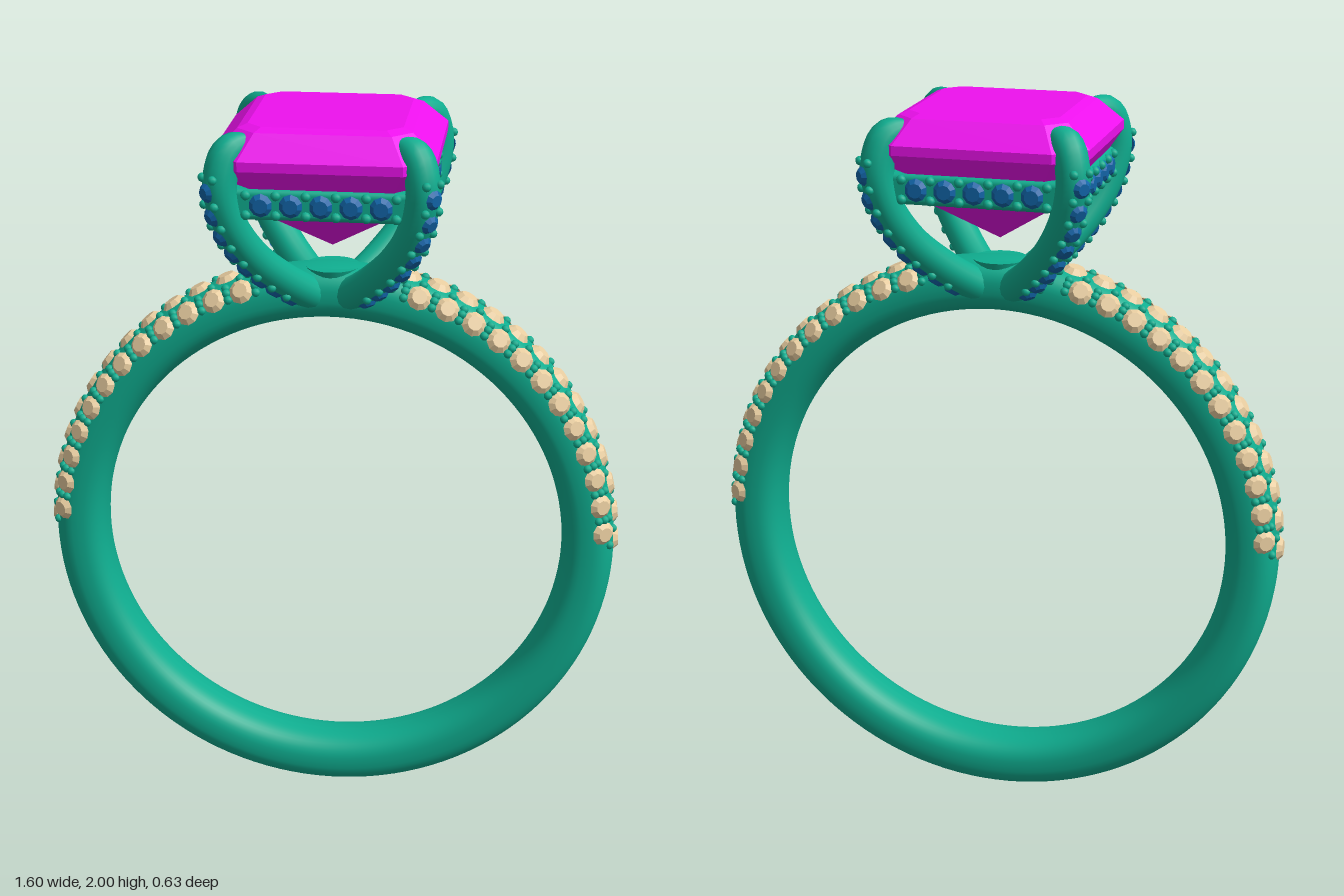
import * as THREE from 'three';
import { mergeGeometries } from 'three/addons/utils/BufferGeometryUtils.js';
import { RoundedBoxGeometry } from 'three/addons/geometries/RoundedBoxGeometry.js';

const metal = new THREE.MeshStandardMaterial({ color: 0x0fae90 });
const gemMat = new THREE.MeshStandardMaterial({ color: 0xee11ee, flatShading: true });
const blue = new THREE.MeshStandardMaterial({ color: 0x1266aa, flatShading: true });
const cream = new THREE.MeshStandardMaterial({ color: 0xe8cda0, flatShading: true });
const V = (x, y, z) => new THREE.Vector3(x, y, z);
const UP = V(0, 1, 0);

function add(parent, name, geometry, material) {
  const mesh = new THREE.Mesh(geometry, material);
  mesh.name = name;
  parent.add(mesh);
  return mesh;
}

// Small cut stone lying at p and facing along n
function stone(p, n, r) {
  const g = new THREE.CylinderGeometry(r * 0.6, r, r * 0.4, 10);
  g.applyQuaternion(new THREE.Quaternion().setFromUnitVectors(UP, n));
  return g.translate(p.x + n.x * r * 0.12, p.y + n.y * r * 0.12, p.z + n.z * r * 0.12);
}
const bead = (p, r = 0.012) => new THREE.SphereGeometry(r, 8, 6).translate(p.x, p.y, p.z);

// Band: a soft oval section turned about the z axis
const CY = 0.795, R = 0.7175, A = 0.0725, B = 0.085;
const soft = (v, e) => Math.sign(v) * Math.abs(v) ** e;

function bandPoint(angle, tilt) {
  const r = R + A * soft(Math.cos(tilt), 0.8), z = B * soft(Math.sin(tilt), 0.8);
  const nr = soft(Math.cos(tilt), 1.2) / A, nz = soft(Math.sin(tilt), 1.2) / B;
  return {
    p: V(r * Math.cos(angle), CY + r * Math.sin(angle), z),
    n: V(nr * Math.cos(angle), nr * Math.sin(angle), nz).normalize(),
  };
}

function makeBand() {
  const group = new THREE.Group();
  group.name = 'band';
  const profile = [];
  for (let i = 0; i <= 40; i++) {
    const t = -Math.PI + (i / 40) * Math.PI * 2;
    profile.push(new THREE.Vector2(R + A * soft(Math.cos(t), 0.8), B * soft(Math.sin(t), 0.8)));
  }
  add(group, 'bandRing', new THREE.LatheGeometry(profile, 128).rotateX(Math.PI / 2).translate(0, CY, 0), metal);

  // Three staggered rows of stones on each shoulder, with beads between
  const deg = Math.PI / 180, stones = [], beads = [];
  for (const side of [1, -1]) {
    const at = (a, t) => bandPoint(side > 0 ? a * deg : Math.PI - a * deg, t * deg);
    for (let i = 0; i < 13; i++) {
      const a = 1.5 + i * 6.1;
      const c = at(a, 0);
      stones.push(stone(c.p, c.n, 0.037));
      for (const s of [1, -1]) {
        beads.push(bead(at(a + 3.05, s * 20).p), bead(at(a, s * 38).p));
        if (i === 12) continue;
        const e = at(a + 3.05, s * 57);
        stones.push(stone(e.p, e.n, 0.034));
        beads.push(bead(at(a + 6.1, s * 68).p), bead(at(a + 6.1, s * 52).p));
      }
    }
  }
  add(group, 'bandStones', mergeGeometries(stones), cream);
  add(group, 'bandBeads', mergeGeometries(beads), metal);
  return group;
}

// Prong: tapering claw in the xy plane, stones along its outer face
function makeProng() {
  const group = new THREE.Group();
  const path = new THREE.CatmullRomCurve3([
    [0, 1.48], [0.1, 1.53], [0.19, 1.59], [0.27, 1.66], [0.335, 1.75],
    [0.365, 1.84], [0.36, 1.9], [0.335, 1.945], [0.27, 1.965],
  ].map(([x, y]) => V(x, y, 0)));
  const N = 48, M = 16, r = 0.045;
  const g = new THREE.TubeGeometry(path, N, r, M);
  const pos = g.attributes.position, v = V();
  for (let i = 0; i <= N; i++) {
    const t = i / N, c = path.getPointAt(t);
    const k = t < 0.86 ? 1 : Math.sqrt(Math.max(0, 1 - ((t - 0.86) / 0.14) ** 2));
    for (let j = 0; j <= M; j++) {
      const id = i * (M + 1) + j;
      v.fromBufferAttribute(pos, id).sub(c).multiplyScalar(k).add(c);
      pos.setXYZ(id, v.x, v.y, v.z);
    }
  }
  add(group, 'prongClaw', g, metal);

  const stones = [], beads = [];
  for (let i = 0; i < 8; i++) {
    const outer = (t) => {
      const d = path.getTangentAt(t), n = V(d.y, -d.x, 0);
      return { n, p: path.getPointAt(t).addScaledVector(n, r) };
    };
    const t = 0.2 + i * 0.08, s = outer(t), b = outer(t + 0.04);
    stones.push(stone(s.p, s.n, 0.026));
    for (const z of [0.022, -0.022]) beads.push(bead(b.p.clone().addScaledVector(b.n, -0.005).setZ(z)));
  }
  add(group, 'prongStones', mergeGeometries(stones), blue);
  add(group, 'prongBeads', mergeGeometries(beads), metal);
  return group;
}

// One side of the square rail under the centre gem
function makeRail() {
  const group = new THREE.Group(), stones = [], beads = [];
  add(group, 'railBar', new RoundedBoxGeometry(0.48, 0.082, 0.06, 3, 0.015).translate(0, 1.813, 0.235), metal);
  for (let i = -2; i <= 2; i++) {
    stones.push(stone(V(i * 0.077, 1.813, 0.266), V(0, 0, 1), 0.032));
  }
  for (let i = -2; i <= 3; i++) {
    for (const y of [1.787, 1.839]) beads.push(bead(V((i - 0.5) * 0.077, y, 0.266), 0.013));
  }
  add(group, 'railStones', mergeGeometries(stones), blue);
  add(group, 'railBeads', mergeGeometries(beads), metal);
  return group;
}

// Centre gem: stacked cut-corner squares [half width, corner cut, height]
function makeGem() {
  const rings = [
    [0, 0, 2], [0.2, 0.04, 2], [0.225, 0.05, 1.99], [0.29, 0.08, 1.93],
    [0.29, 0.08, 1.905], [0.2, 0.055, 1.77], [0, 0, 1.635],
  ].map(([h, c, y]) => {
    const k = h - c;
    return [[h, -k], [h, k], [k, h], [-k, h], [-h, k], [-h, -k], [-k, -h], [k, -h]].map(([x, z]) => V(x, y, z));
  });
  const pts = [];
  for (let i = 0; i < rings.length - 1; i++) {
    for (let j = 0; j < 8; j++) {
      const k = (j + 1) % 8;
      const [a, b, c, d] = [rings[i][j], rings[i][k], rings[i + 1][j], rings[i + 1][k]];
      if (i > 0) pts.push(a, b, c);
      if (i < rings.length - 2) pts.push(b, d, c);
    }
  }
  const g = new THREE.BufferGeometry().setFromPoints(pts);
  g.computeVertexNormals();
  return g;
}

export function createModel() {
  const model = new THREE.Group();
  model.name = 'ring';
  model.add(makeBand());
  add(model, 'centreGem', makeGem(), gemMat);

  // Hub where the prongs meet the band
  add(model, 'prongHub', new THREE.CylinderGeometry(0.075, 0.04, 0.11, 24).translate(0, 1.525, 0), metal);

  for (let i = 0; i < 4; i++) {
    const prong = makeProng();
    prong.name = 'prong';
    prong.rotation.y = Math.PI / 4 + (i * Math.PI) / 2;
    const rail = makeRail();
    rail.name = 'galleryRail';
    rail.rotation.y = (i * Math.PI) / 2;
    model.add(prong, rail);
  }
  return model;
}
